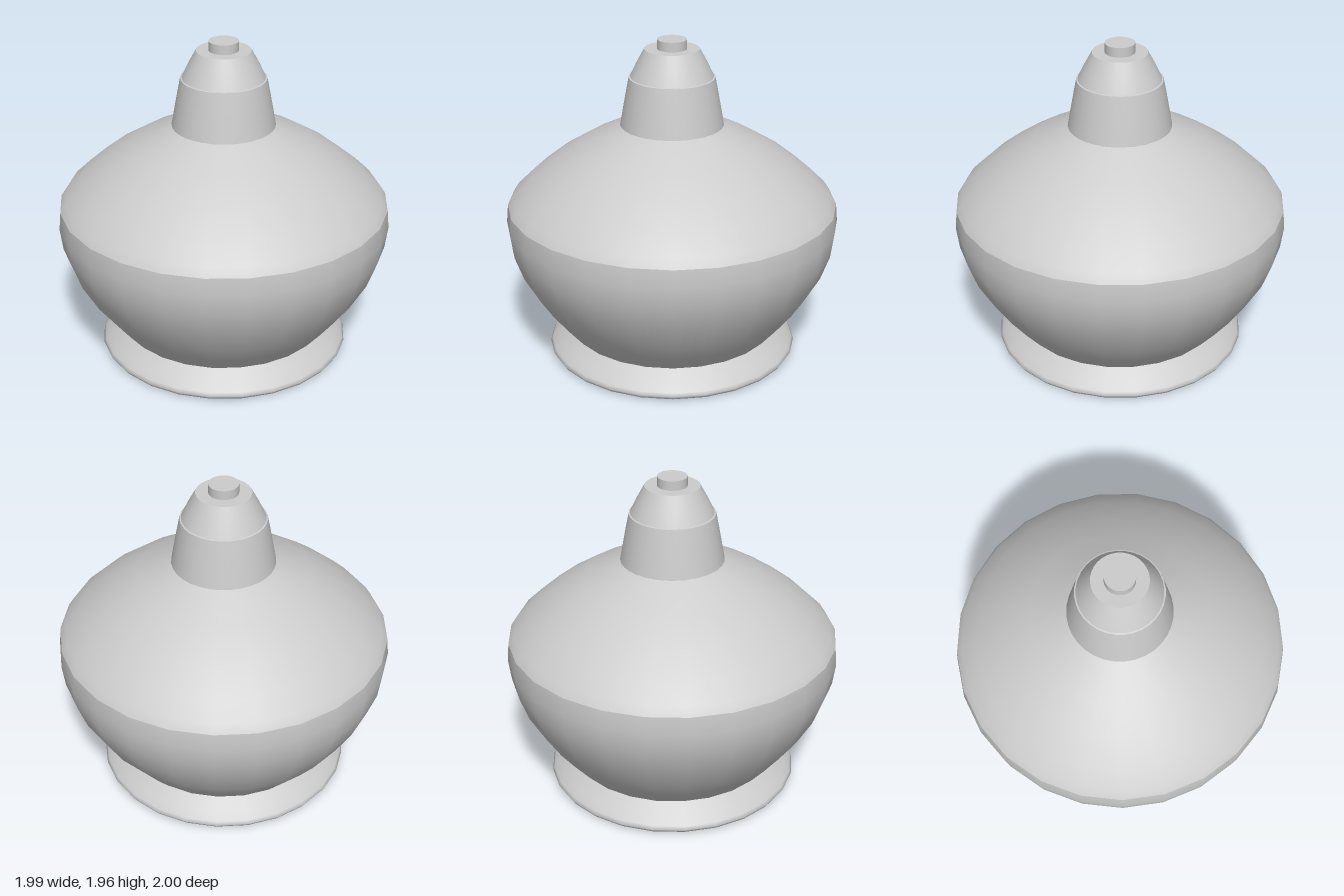
import * as THREE from 'three';

const material = new THREE.MeshStandardMaterial({ color: 0xcccccc });

// Each profile is a bottom-to-top run of [radius, height]; separate runs keep a sharp edge between them.
function turned(name, segments, ...profiles) {
  const part = new THREE.Group();
  part.name = name;
  profiles.forEach((profile, i) => {
    const points = profile.map(([r, y]) => new THREE.Vector2(r, y));
    const mesh = new THREE.Mesh(new THREE.LatheGeometry(points, segments, Math.PI / 2), material);
    mesh.name = `${name}Surface${i + 1}`;
    part.add(mesh);
  });
  return part;
}

export function createModel() {
  const model = new THREE.Group();
  model.name = 'bottle';

  // Flared foot with a rounded rim
  model.add(turned('foot', 25,
    [[0, 0], [0.71, 0]],
    [[0.71, 0], [0.75, 0.012], [0.762, 0.032], [0.75, 0.052], [0.71, 0.09], [0.635, 0.152]]));

  // Bulging body with a crease at the shoulder line
  model.add(turned('body', 25,
    [[0.635, 0.15], [0.73, 0.262], [0.83, 0.39], [0.928, 0.56], [0.982, 0.71], [1, 0.845], [0.99, 0.953]],
    [[0.99, 0.953], [0.957, 1.005], [0.86, 1.1], [0.71, 1.22], [0.535, 1.33], [0.305, 1.447]]));

  // Tapered neck with a narrow ledge
  model.add(turned('neck', 32,
    [[0.308, 1.445], [0.292, 1.535], [0.272, 1.645], [0.254, 1.737]],
    [[0.254, 1.737], [0.244, 1.74]]));

  // Conical cap
  model.add(turned('cap', 32,
    [[0.246, 1.738], [0.21, 1.815], [0.162, 1.905]],
    [[0.162, 1.905], [0, 1.905]]));

  // Small round tip
  model.add(turned('tip', 32,
    [[0.088, 1.9], [0.088, 1.962]],
    [[0.088, 1.962], [0, 1.962]]));

  return model;
}
